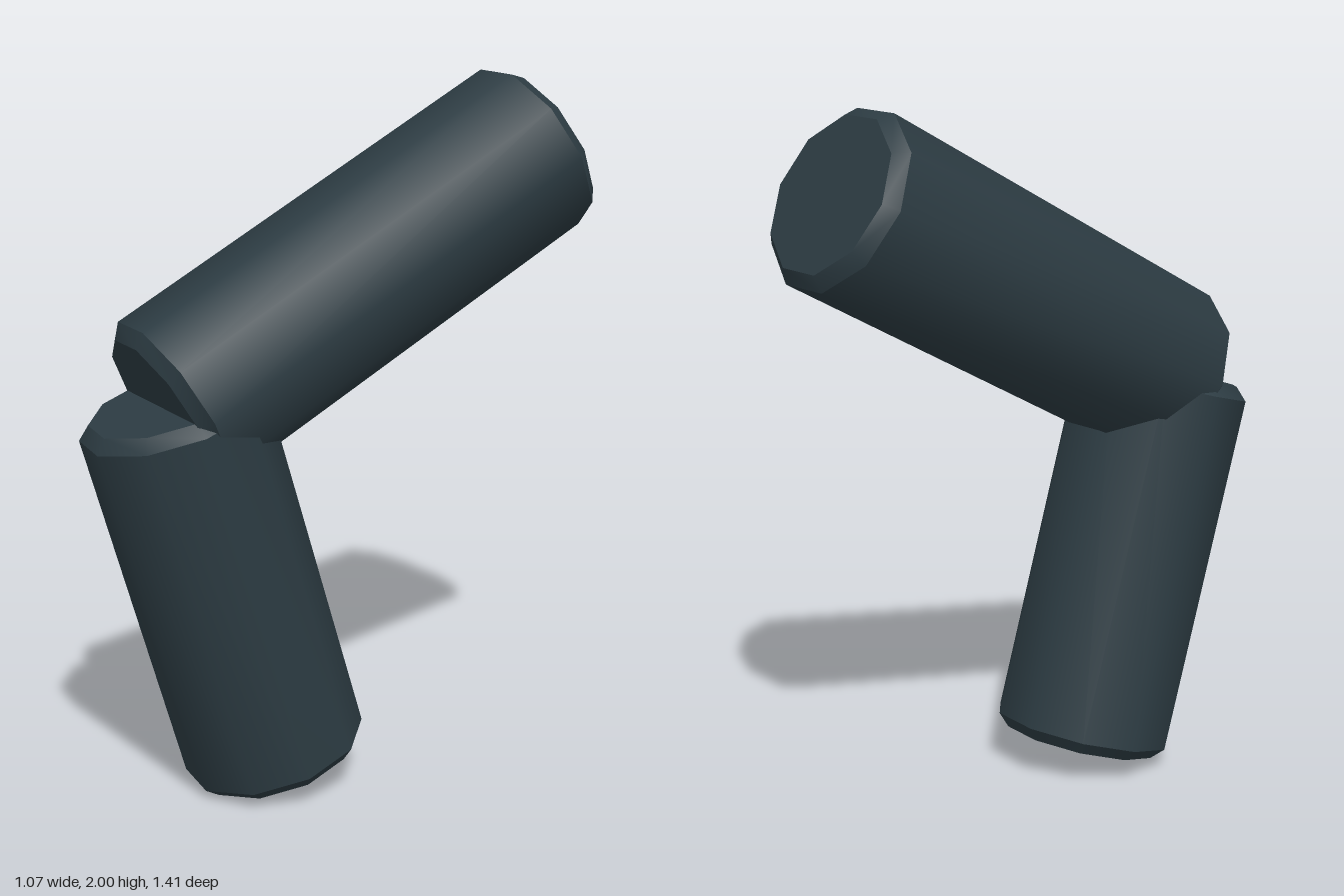
import * as THREE from 'three';
import { toCreasedNormals } from 'three/addons/utils/BufferGeometryUtils.js';

const SIDES = 10, RADIUS = 0.265, BEVEL = 0.036;

// Ten-sided rod with bevelled ends, running between two rim centres;
// one of its flat sides faces the given direction.
function bevelledRod(name, from, to, facing, material) {
  const axis = to.clone().sub(from);
  const half = axis.length() / 2;
  axis.normalize();
  const profile = [
    [0, -half - BEVEL], [RADIUS - BEVEL, -half - BEVEL], [RADIUS, -half],
    [RADIUS, half], [RADIUS - BEVEL, half + BEVEL], [0, half + BEVEL],
  ].map(([r, y]) => new THREE.Vector2(r, y));
  const lathe = new THREE.LatheGeometry(profile, SIDES, Math.PI / SIDES);
  const mesh = new THREE.Mesh(toCreasedNormals(lathe, 0.68), material);
  mesh.name = name;

  const z = facing.clone().addScaledVector(axis, -facing.dot(axis)).normalize();
  const x = new THREE.Vector3().crossVectors(axis, z);
  mesh.quaternion.setFromRotationMatrix(new THREE.Matrix4().makeBasis(x, axis, z));
  mesh.position.copy(from).add(to).multiplyScalar(0.5);
  return mesh;
}

export function createModel() {
  const v = (x, y, z) => new THREE.Vector3(x, y, z);
  const darkSlate = new THREE.MeshStandardMaterial({ color: 0x2c3b42 });
  darkSlate.name = 'darkSlate';

  const group = new THREE.Group();
  group.name = 'bentRods';
  group.add(
    // Near-upright lower rod
    bevelledRod('lowerRod', v(-0.12, 0.09, 0.204), v(-0.274, 1.115, 0.461), v(0, 0, 1), darkSlate),
    // Upper rod leaning back and to the left
    bevelledRod('upperRod', v(-0.27, 1.15, 0.465), v(0.302, 1.772, -0.532), v(0, 1, 0), darkSlate),
  );
  return group;
}
